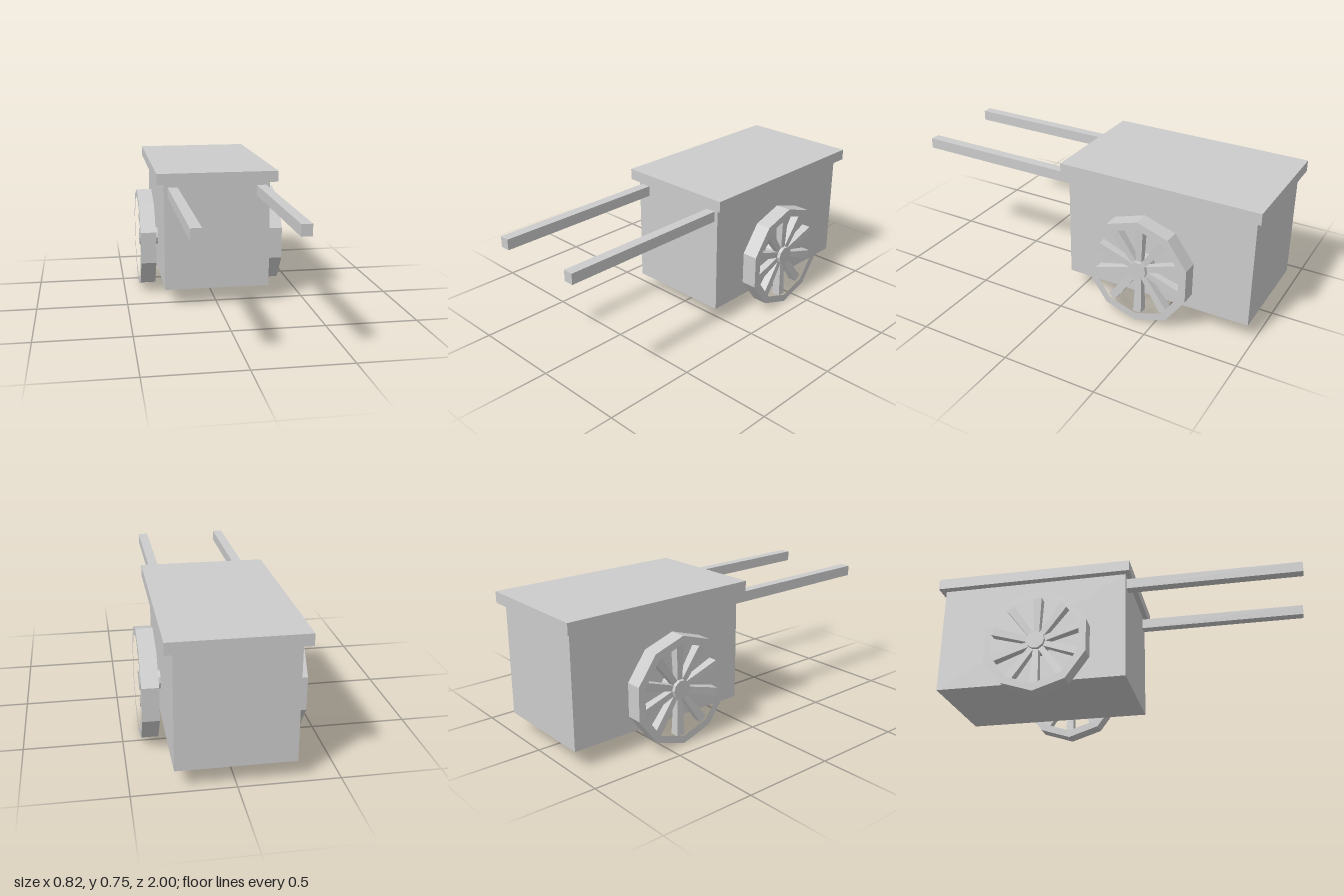
import * as THREE from 'three';

const SIDES = 10, RADIUS = 0.289, INNER = 0.248, AXLE_Z = -0.4;

export function createModel() {
  const cart = new THREE.Group();
  cart.name = 'handcart';
  const mat = new THREE.MeshStandardMaterial({ color: 0xcccccc, flatShading: true });

  const add = (parent, name, geometry) => {
    const mesh = new THREE.Mesh(geometry, mat);
    mesh.name = name;
    parent.add(mesh);
    return mesh;
  };
  // Box given by its lower and upper corners
  const box = (name, [x0, y0, z0], [x1, y1, z1]) =>
    add(cart, name, new THREE.BoxGeometry(x1 - x0, y1 - y0, z1 - z0)
      .translate((x0 + x1) / 2, (y0 + y1) / 2, (z0 + z1) / 2));
  // Regular polygon with a corner pointing up
  const polygon = (Type, r) => new Type(Array.from({ length: SIDES }, (_, i) => {
    const a = (i / SIDES) * Math.PI * 2;
    return new THREE.Vector2(Math.sin(a) * r, Math.cos(a) * r);
  }));

  // Body and overhanging lid
  box('body', [-0.293, 0.095, -0.97], [0.293, 0.692, 0.06]);
  box('lid', [-0.333, 0.692, -1], [0.333, 0.752, 0.088]);

  const rimShape = polygon(THREE.Shape, RADIUS);
  rimShape.holes.push(polygon(THREE.Path, INNER));

  for (const side of [1, -1]) {
    const label = side > 0 ? 'left' : 'right';

    // Pull handle
    const h = side * 0.2455;
    box(label + 'Handle', [h - 0.027, 0.615, 0.04], [h + 0.027, 0.672, 1]);

    // Wheel, built facing +x and turned round for the other side
    const wheel = new THREE.Group();
    wheel.name = label + 'Wheel';
    wheel.position.set(0, RADIUS + 0.001, AXLE_Z);
    wheel.rotation.y = side > 0 ? 0 : Math.PI;
    cart.add(wheel);

    add(wheel, 'rim', new THREE.ExtrudeGeometry(rimShape, { depth: 0.086, bevelEnabled: false })
      .rotateY(Math.PI / 2).translate(0.324, 0, 0));

    add(wheel, 'hub', new THREE.CylinderGeometry(0.05, 0.05, 0.115, SIDES)
      .rotateZ(-Math.PI / 2).rotateX(Math.PI / 2 + Math.PI / SIDES * 5)
      .translate(0.3425, 0.003, 0));

    // Tapered spokes, one to each rim corner
    for (let i = 0; i < SIDES; i++) {
      const spoke = new THREE.CylinderGeometry(0.032, 0.021, 0.222, 4)
        .rotateY(Math.PI / 4).scale(1.1, 1, 1)
        .translate(0.364, 0.141, 0).rotateX((i / SIDES) * Math.PI * 2);
      add(wheel, 'spoke', spoke);
    }
  }
  return cart;
}
